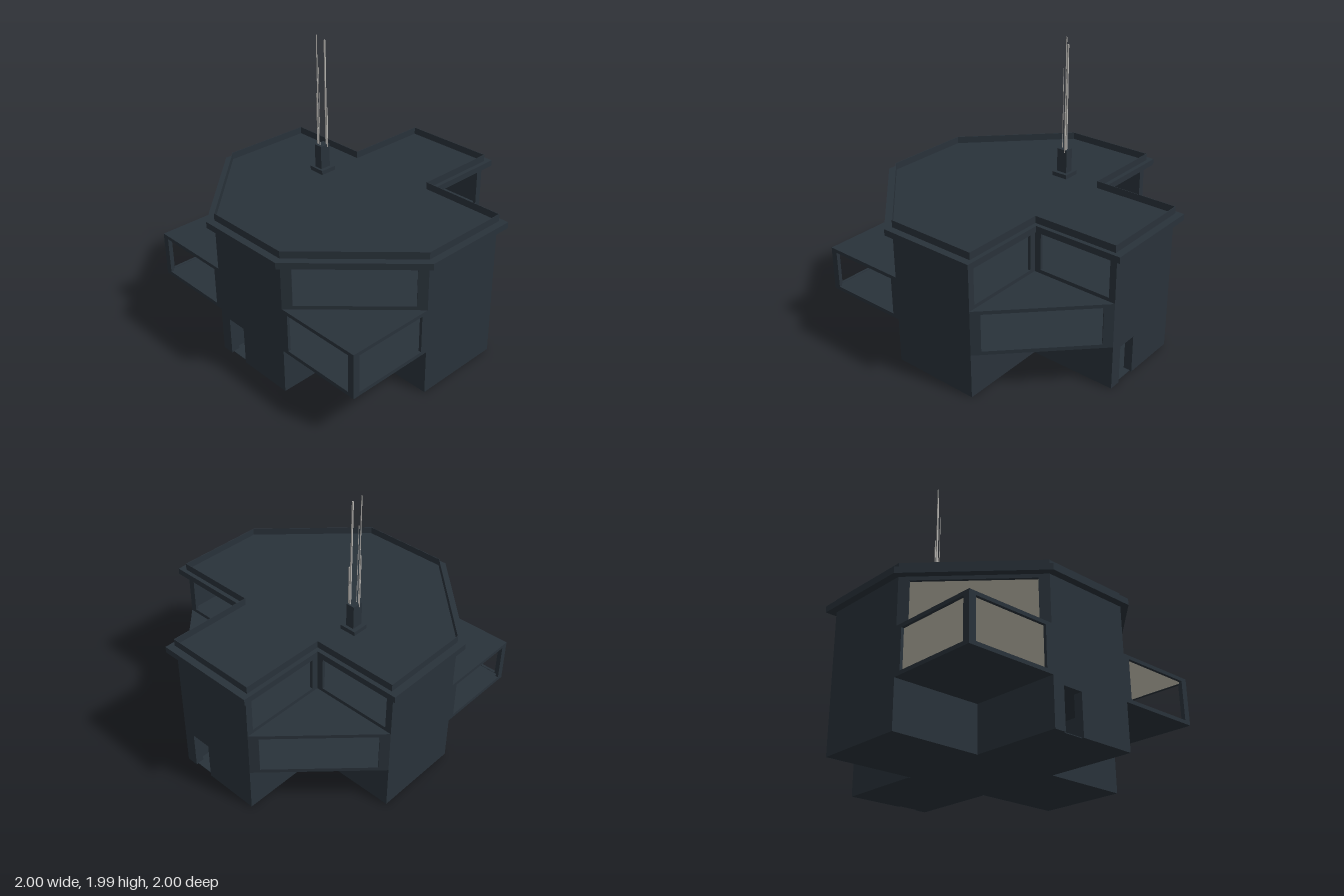
import * as THREE from 'three';

const mat = (name, color) => {
  const m = new THREE.MeshStandardMaterial({ color });
  m.name = name;
  return m;
};

// Extrudes a plan of [x, z] points upward between two heights
function slabGeometry(plan, y0, y1, inset = 1) {
  const shape = new THREE.Shape(plan.map(([x, z]) => new THREE.Vector2(x * inset, -z * inset)));
  const g = new THREE.ExtrudeGeometry(shape, { depth: y1 - y0, bevelEnabled: false });
  return g.rotateX(-Math.PI / 2).translate(0, y0, 0);
}

// Plan with cut front corners and notched back corners
const notchedPlan = (e, w, s) => [
  [-s, e], [s, e], [e, s], [e, -w], [w, -w], [w, -e], [-w, -e], [-w, -w], [-e, -w], [-e, s],
];

export function createModel() {
  const house = new THREE.Group();
  house.name = 'house';
  const dark = mat('dark slate', 0x29323a);
  const beige = mat('beige ceiling', 0xd2cdbd);
  const steel = mat('pale metal', 0xb4b2ae);

  const add = (name, geometry, material = dark, parent = house) => {
    const mesh = new THREE.Mesh(geometry, material);
    mesh.name = name;
    parent.add(mesh);
    return mesh;
  };

  // One wall from a to b, outer face on the line, with an optional window or door
  function wall(parent, name, a, b, y0, y1, thickness, opening) {
    const dx = b[0] - a[0], dz = b[1] - a[1], L = Math.hypot(dx, dz), h = y1 - y0;
    const pts = opening === 'door'
      ? [[0, 0], [0.085, 0], [0.085, 0.275], [0.233, 0.275], [0.233, 0], [L, 0], [L, h], [0, h]]
      : [[0, 0], [L, 0], [L, h], [0, h]];
    const shape = new THREE.Shape(pts.map(p => new THREE.Vector2(...p)));
    if (opening === 'window') {
      const m = L * 0.075;
      shape.holes.push(new THREE.Path(
        [[m, 0.026], [m, h - 0.025], [L - m, h - 0.025], [L - m, 0.026]].map(p => new THREE.Vector2(...p))));
    }
    const g = new THREE.ExtrudeGeometry(shape, { depth: thickness, bevelEnabled: false }).translate(0, 0, -thickness);
    const mesh = add(name, g, dark, parent);
    mesh.position.set(a[0], y0, a[1]);
    mesh.rotation.y = Math.atan2(-dz, dx);
  }

  const E = 0.95, A = 0.32;
  const storeys = [
    { // cross-shaped ground floor with deep door reveals
      name: 'groundFloor', y0: 0, y1: 0.317, thickness: 0.06, doors: [0, 6], windows: [],
      plan: [[-A, E], [A, E], [A, A], [E, A], [E, -A], [A, -A], [A, -E], [-A, -E], [-A, -A], [-E, -A], [-E, A], [-A, A]],
    },
    { // middle floor: square front corners, cut back corners
      name: 'middleFloor', y0: 0.317, y1: 0.636, thickness: 0.02, doors: [], windows: [1, 2, 4, 6, 8, 9],
      plan: [[-A, E], [A, E], [E, E], [E, A], [E, -A], [A, -E], [-A, -E], [-E, -A], [-E, A], [-E, E]],
    },
    { // top floor: cut front corners, notched back corners
      name: 'topFloor', y0: 0.636, y1: 0.956, thickness: 0.02, doors: [], windows: [1, 3, 4, 6, 7, 9],
      plan: notchedPlan(E, A, A),
    },
  ];

  for (const { name, y0, y1, thickness, doors, windows, plan } of storeys) {
    const storey = new THREE.Group();
    storey.name = name;
    house.add(storey);
    plan.forEach((a, i) => {
      const opening = doors.includes(i) ? 'door' : windows.includes(i) ? 'window' : null;
      wall(storey, opening ? opening + 'Wall' : 'wall', a, plan[(i + 1) % plan.length], y0, y1, thickness, opening);
    });
    add('floorSlab', slabGeometry(plan, y0, y0 + (y0 ? 0.023 : 0.005), 0.985), dark, storey);
    add('ceilingSlab', slabGeometry(plan, y1 - 0.018, y1, 0.985), dark, storey);
    if (windows.length) add('ceiling', slabGeometry(plan, y1 - 0.023, y1 - 0.018, 0.985), beige, storey);
  }

  // Flat roof with a thin parapet standing inside the eave
  add('roof', slabGeometry(notchedPlan(1, 0.367, 0.34), 0.956, 1.0));
  const rim = notchedPlan(E, 0.337, 0.32);
  rim.forEach((a, i) => wall(house, 'parapet', a, rim[(i + 1) % rim.length], 1.0, 1.05, 0.004));

  // Chimney on a low plinth
  add('chimneyPlinth', new THREE.BoxGeometry(0.12, 0.03, 0.12).translate(-0.37, 1.015, -0.03));
  add('chimney', new THREE.BoxGeometry(0.062, 0.2, 0.08).translate(-0.369, 1.1, -0.028));

  // Thin aerials: x, z, top height, thickness
  const aerials = [
    [-0.39, -0.013, 1.985, 0.005], [-0.355, -0.053, 1.95, 0.009], [-0.401, -0.016, 1.57, 0.006],
    [-0.34, -0.05, 1.475, 0.008], [-0.37, -0.008, 1.77, 0.003],
  ];
  for (const [x, z, top, d] of aerials) {
    const h = top - 1.18;
    add('aerial', new THREE.BoxGeometry(d, h, d).translate(x, 1.18 + h / 2, z), steel);
  }

  return house;
}
